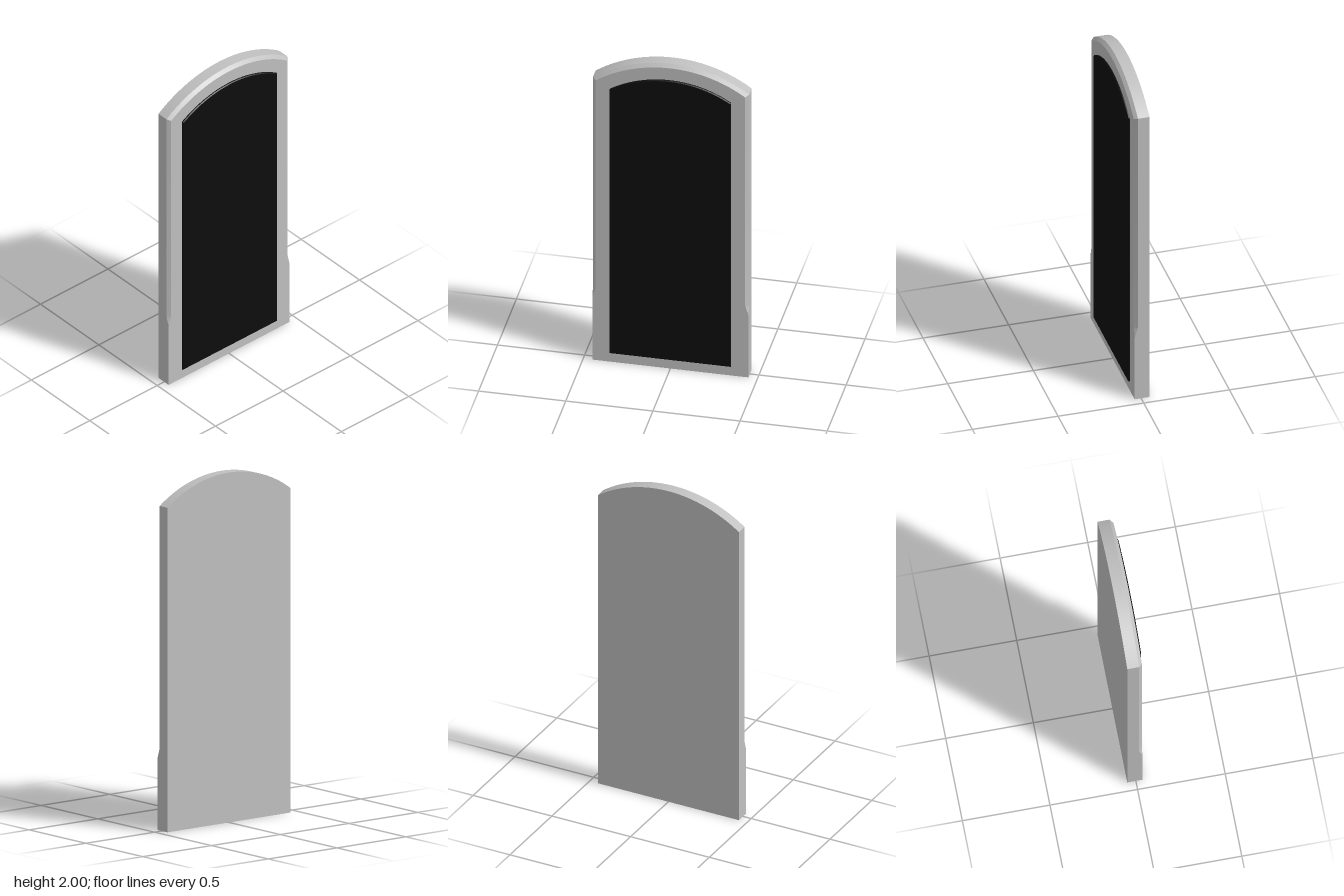
import * as THREE from 'three';
import { toCreasedNormals } from 'three/addons/utils/BufferGeometryUtils.js';

// Arched slab whose front edge is chamfered by cut(y)
function archedSlab({ w, y0, shoulder, top, back, front, sideYs, cut }) {
  const rise = top - shoulder;
  const R = (w * w + rise * rise) / (2 * rise);
  const cy = top - R;
  const c0 = cut(y0), cTop = cut(shoulder);
  const outer = [], inner = [];
  const add = (x, y, ix, iy, c) => {
    outer.push({ x, y, z: front - c });
    inner.push({ x: ix, y: iy, z: front });
  };
  // right side, going up
  add(w, y0, w - c0, y0 + c0, c0);
  for (const y of sideYs) add(w, y, w - cut(y), y, cut(y));
  // arch, right to left, with a mitred chamfer
  const n = 48, a = Math.asin(w / R), b = Math.asin((w - cTop) / (R - cTop));
  for (let i = 0; i <= n; i++) {
    const t = 1 - (2 * i) / n;
    add(R * Math.sin(a * t), cy + R * Math.cos(a * t),
      (R - cTop) * Math.sin(b * t), cy + (R - cTop) * Math.cos(b * t), cTop);
  }
  // left side, going down
  for (const y of [...sideYs].reverse()) add(-w, y, -w + cut(y), y, cut(y));
  add(-w, y0, -w + c0, y0 + c0, c0);

  const pos = [];
  const rear = outer.map((p) => ({ x: p.x, y: p.y, z: back }));
  const tri = (p, q, r) => {
    const v = [p, q, r].map((k) => new THREE.Vector3(k.x, k.y, k.z));
    const area = v[1].clone().sub(v[0]).cross(v[2].clone().sub(v[0])).length();
    if (area > 1e-9) v.forEach((k) => pos.push(k.x, k.y, k.z));
  };
  const band = (lo, hi) => lo.forEach((p, i) => {
    const j = (i + 1) % lo.length;
    tri(p, lo[j], hi[j]);
    tri(p, hi[j], hi[i]);
  });
  band(rear, outer);
  band(outer, inner);
  // front and back faces
  const cap = (ring, flip) => {
    const pts = ring.map((p) => new THREE.Vector2(p.x, p.y));
    for (const [i, j, k] of THREE.ShapeUtils.triangulateShape(pts, [])) {
      if (flip) tri(ring[i], ring[k], ring[j]);
      else tri(ring[i], ring[j], ring[k]);
    }
  };
  cap(inner, false);
  cap(rear, true);

  const geo = new THREE.BufferGeometry();
  geo.setAttribute('position', new THREE.Float32BufferAttribute(pos, 3));
  return toCreasedNormals(geo, 0.35);
}

export function createModel() {
  const stone = new THREE.MeshStandardMaterial({ color: 0xc0c0c0 });
  stone.name = 'light grey';
  const black = new THREE.MeshStandardMaterial({ color: 0x0d0d0d });
  black.name = 'black';

  const model = new THREE.Group();
  model.name = 'archedPanel';

  // Slab: chamfer starts with a curved stop above the plain foot
  const stopLow = 0.4, stopHigh = 0.48;
  const stopYs = Array.from({ length: 11 }, (_, i) => stopLow + ((stopHigh - stopLow) * i) / 10);
  const slab = new THREE.Mesh(archedSlab({
    w: 0.448, y0: 0, shoulder: 1.855, top: 2, back: -0.049, front: 0.038,
    sideYs: stopYs,
    cut: (y) => 0.019 * THREE.MathUtils.smoothstep(y, stopLow, stopHigh),
  }), stone);
  slab.name = 'slab';

  // Raised dark panel with a fine bevel
  const panel = new THREE.Mesh(archedSlab({
    w: 0.349, y0: 0.06, shoulder: 1.8, top: 1.903, back: 0.037, front: 0.049,
    sideYs: [],
    cut: () => 0.005,
  }), black);
  panel.name = 'frontPanel';

  model.add(slab, panel);
  return model;
}
